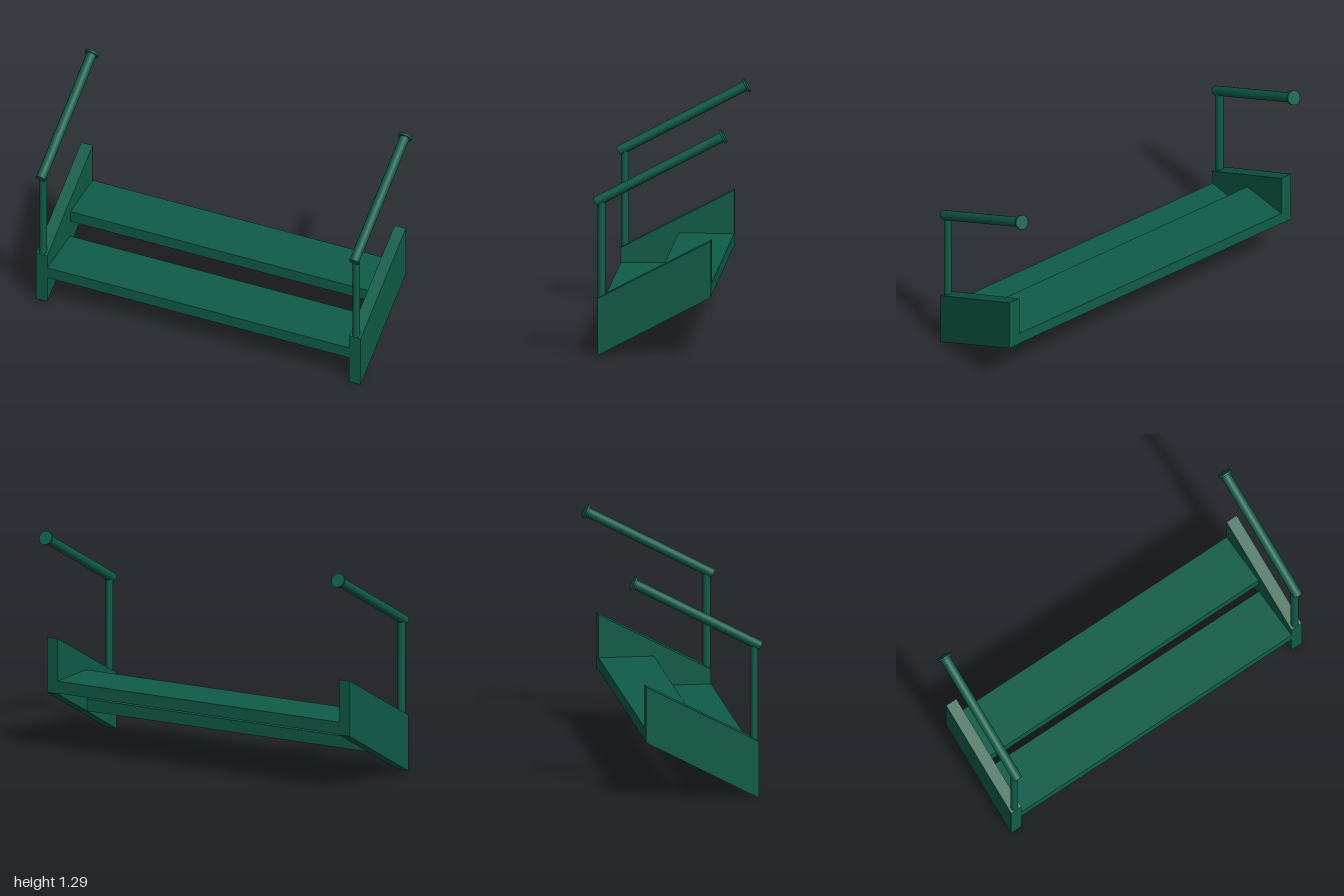
import * as THREE from 'three';

const material = new THREE.MeshStandardMaterial({ color: 0x0f5c48 });

function add(parent, name, geometry) {
  const mesh = new THREE.Mesh(geometry, material);
  mesh.name = name;
  parent.add(mesh);
  return mesh;
}

// Round bar between two points
function bar(parent, name, from, to, radius) {
  const dir = to.clone().sub(from);
  const mesh = add(parent, name, new THREE.CylinderGeometry(radius, radius, dir.length(), 24));
  mesh.position.copy(from).add(to).multiplyScalar(0.5);
  mesh.quaternion.setFromUnitVectors(new THREE.Vector3(0, 1, 0), dir.normalize());
  return mesh;
}

export function createModel() {
  const model = new THREE.Group();
  model.name = 'stepsWithHandrails';

  // Slanted side panel, drawn in (-z, y) and extruded across x
  const front = 0.355, back = -0.285, thickness = 0.07;
  const outline = new THREE.Shape([
    new THREE.Vector2(-front, 0),
    new THREE.Vector2(-back, 0.337),
    new THREE.Vector2(-back, 0.657),
    new THREE.Vector2(-front, 0.325),
  ]);
  const panelGeometry = new THREE.ExtrudeGeometry(outline, { depth: thickness, bevelEnabled: false });
  panelGeometry.translate(0, 0, -thickness / 2).rotateY(Math.PI / 2);

  for (const [side, s] of [['left', 1], ['right', -1]]) {
    const group = new THREE.Group();
    group.name = side + 'Side';
    group.position.x = s * 0.96;
    model.add(group);

    add(group, 'sidePanel', panelGeometry);

    // Upright post and sloping handrail
    bar(group, 'post', new THREE.Vector3(0, 0.3, 0.334), new THREE.Vector3(0, 0.88, 0.334), 0.022);
    const low = new THREE.Vector3(0, 0.868, 0.368);
    const high = new THREE.Vector3(0, 1.251, -0.357);
    bar(group, 'handrail', low, high, 0.028);

    // Flat disc closing the upper end of the rail
    const dir = high.clone().sub(low).normalize();
    bar(group, 'railCap', high.clone().addScaledVector(dir, -0.012), high, 0.041);
  }

  // Two treads between the side panels
  for (const [name, y, zFront, zBack] of [
    ['lowerTread', 0.205, 0.355, 0.034],
    ['upperTread', 0.375, 0.03, -0.285],
  ]) {
    const tread = add(model, name, new THREE.BoxGeometry(1.85, 0.07, zFront - zBack));
    tread.position.set(0, y, (zFront + zBack) / 2);
  }

  return model;
}
